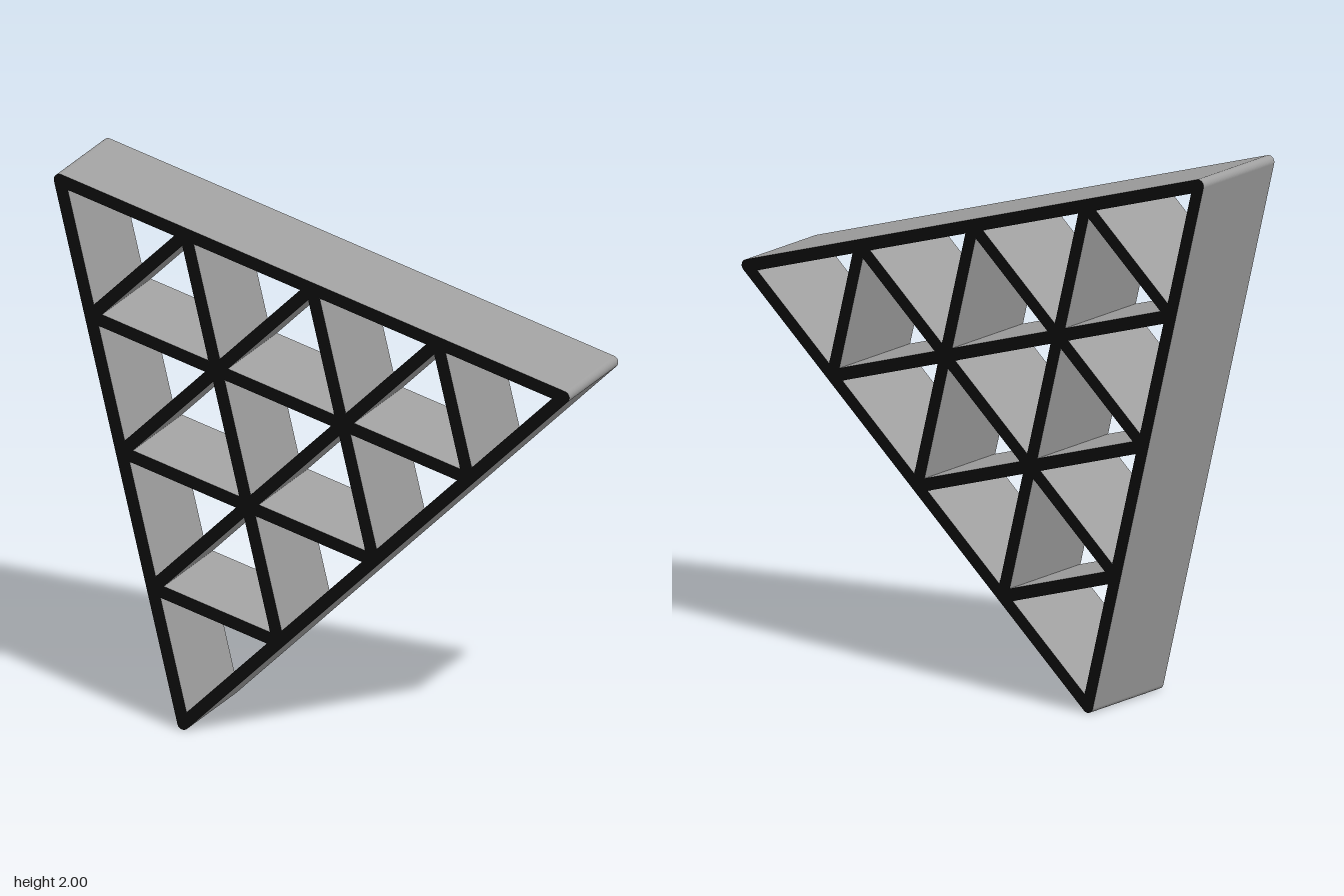
import * as THREE from 'three';

const HALF_WALL = 0.0225; // half the wall thickness, also the corner radius
const DEPTH = 0.44;
const ROWS = 4;

export function createModel() {
  const wallGrey = new THREE.MeshStandardMaterial({ color: 0xa0a0a0 });
  wallGrey.name = 'wallGrey';
  const rimBlack = new THREE.MeshStandardMaterial({ color: 0x0b0b0b });
  rimBlack.name = 'rimBlack';

  // Centre lines of the outer walls meet at these corners
  const top = new THREE.Vector2(-0.964, 1.977);
  const side = new THREE.Vector2(0.964, 1.42);
  const foot = new THREE.Vector2(-0.491, 0.023);
  const corners = [top, foot, side]; // counter-clockwise

  // Outline: triangle with rounded tips
  const outline = new THREE.Shape();
  const normalAngle = (a, b) => Math.atan2(b.y - a.y, b.x - a.x) - Math.PI / 2;
  corners.forEach((c, i) => {
    const before = normalAngle(corners[(i + 2) % 3], c);
    const after = normalAngle(c, corners[(i + 1) % 3]);
    outline.absarc(c.x, c.y, HALF_WALL, before, after, false);
  });

  // Triangular cells cut right through, each inset by half a wall
  const node = (i, j) => top.clone()
    .addScaledVector(side.clone().sub(top), i / ROWS)
    .addScaledVector(foot.clone().sub(top), j / ROWS);
  const inradius = top.distanceTo(side) / ROWS / (2 * Math.sqrt(3));
  const cutCell = (points) => {
    const centre = new THREE.Vector2();
    points.forEach((p) => centre.addScaledVector(p, 1 / 3));
    points.forEach((p) => p.lerp(centre, HALF_WALL / inradius));
    outline.holes.push(new THREE.Path(points));
  };
  for (let i = 0; i < ROWS; i++) {
    for (let j = 0; i + j < ROWS; j++) {
      cutCell([node(i, j), node(i + 1, j), node(i, j + 1)]);
      if (i + j < ROWS - 1) {
        cutCell([node(i + 1, j + 1), node(i, j + 1), node(i + 1, j)]);
      }
    }
  }

  // Black front and back rims, grey walls
  const geometry = new THREE.ExtrudeGeometry(outline, {
    depth: DEPTH, bevelEnabled: false, curveSegments: 6,
  });
  geometry.translate(0, 0, -DEPTH / 2);
  const lattice = new THREE.Mesh(geometry, [rimBlack, wallGrey]);
  lattice.name = 'triangularLattice';

  const model = new THREE.Group();
  model.name = 'triangularShelf';
  model.add(lattice);
  return model;
}
